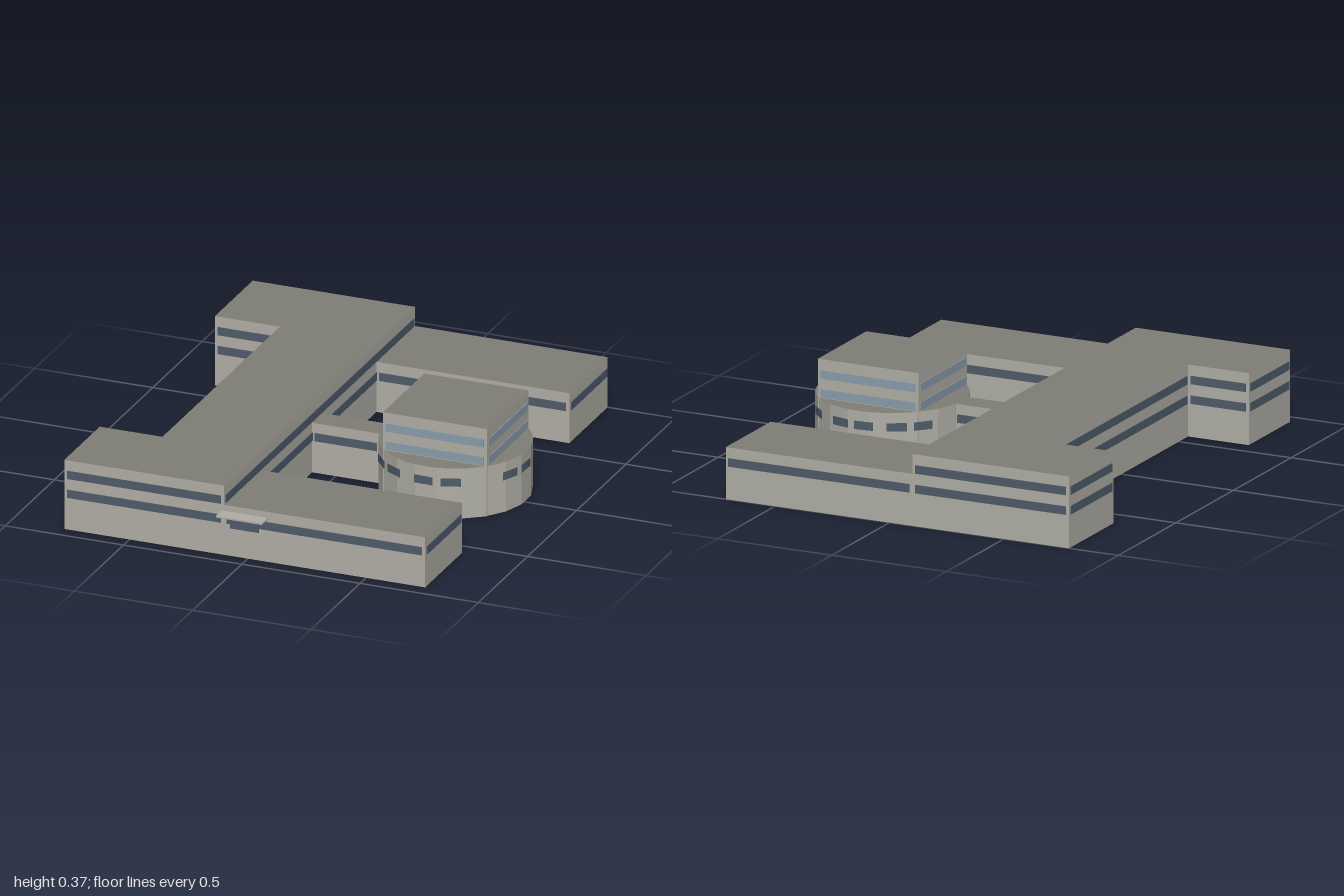
import * as THREE from 'three';

const mat = (name, color, side = THREE.DoubleSide) => {
  const m = new THREE.MeshStandardMaterial({ color, side });
  m.name = name;
  return m;
};

export function createModel() {
  const concrete = mat('concrete', 0xb0aea6);
  const roofing = mat('roofing', 0x807e76);
  const darkGlass = mat('darkGlass', 0x4e5c6a);
  const paleGlass = mat('paleGlass', 0x8b9dad);
  const model = new THREE.Group();
  model.name = 'building';

  const add = (parent, name, geometry, material, x = 0, y = 0, z = 0) => {
    const m = new THREE.Mesh(geometry, material);
    m.name = name;
    m.position.set(x, y, z);
    parent.add(m);
    return m;
  };

  // Open-bottomed block over an [x, z] outline (front edge running to +x),
  // with a window band on each wall at every given height.
  function block(name, outline, height, { bands = [0.152], glass = darkGlass, skip = [], through = false } = {}) {
    const group = new THREE.Group();
    group.name = name;
    model.add(group);
    outline.forEach(([x0, z0], i) => {
      if (skip.includes(i)) return;
      const [x1, z1] = outline[(i + 1) % outline.length];
      const length = Math.hypot(x1 - x0, z1 - z0);
      const side = new THREE.Group();
      side.name = 'wallSide';
      side.position.set((x0 + x1) / 2, 0, (z0 + z1) / 2);
      side.rotation.y = Math.atan2(z0 - z1, x1 - x0);
      group.add(side);
      add(side, 'wall', new THREE.PlaneGeometry(length, height), concrete, 0, height / 2, 0);
      for (const y of bands) {
        const depth = through ? 0.006 : 0.003;
        add(side, 'windowBand', new THREE.BoxGeometry(length - 0.025, 0.034, depth), glass, 0, y, through ? 0 : 0.0025);
      }
    });
    const shape = new THREE.Shape(outline.map(([x, z]) => new THREE.Vector2(x, -z)));
    add(group, 'roof', new THREE.ShapeGeometry(shape).rotateX(-Math.PI / 2), roofing, 0, height, 0);
    return group;
  }

  const rect = (x0, x1, z0, z1) => [[x0, z1], [x1, z1], [x1, z0], [x0, z0]];

  // Taller main spine with its two end blocks
  block('mainSpine', [
    [-0.775, 0.94], [-0.1, 0.94], [-0.1, -1], [-0.785, -1],
    [-0.785, -0.615], [-0.51, -0.615], [-0.51, 0.58], [-0.775, 0.58],
  ], 0.293, { bands: [0.152, 0.232], through: true });

  // Lower wings and the link to the round hall
  block('frontWing', rect(-0.1, 0.75, 0.565, 0.94), 0.212, { skip: [3] });
  block('backWing', rect(-0.1, 0.715, -1, -0.61), 0.212, { skip: [3] });
  block('linkCorridor', rect(-0.1, 0.188, -0.06, 0.045), 0.21, { skip: [1, 3] });

  // Square pavilion rising through the round hall
  block('pavilion', rect(0.26, 0.7, -0.23, 0.19), 0.37, { bands: [0.232, 0.308], glass: paleGlass });

  // Round hall: faceted wall, roof segments around the pavilion, short windows
  const hall = new THREE.Group();
  hall.name = 'roundHall';
  hall.position.set(0.48, 0, -0.02);
  model.add(hall);
  const R = 0.302, H = 0.212, deg = Math.PI / 180;
  const drum = new THREE.CylinderGeometry(R, R, H, 20, 1, true, Math.PI / 4).toNonIndexed();
  drum.computeVertexNormals();
  add(hall, 'hallWall', drum, concrete, 0, H / 2, 0);
  for (let i = 0; i < 4; i++) {
    const segment = new THREE.Shape();
    segment.absarc(0, 0, R, -Math.PI / 4, Math.PI / 4, false);
    add(hall, 'hallRoof', new THREE.ShapeGeometry(segment, 5).rotateX(-Math.PI / 2), roofing, 0, H, 0)
      .rotation.y = i * Math.PI / 2;
  }
  for (const a of [3, 23, 71, 92, 120, 140, -26, -46, -75, -95, -120, -140]) {
    const pane = new THREE.CylinderGeometry(R + 0.005, R + 0.005, 0.034, 1, 1, true, (90 - a - 7.5) * deg, 15 * deg);
    add(hall, 'hallWindow', pane, darkGlass, 0, 0.154, 0);
  }

  // Entrance with a thin canopy
  add(model, 'entranceDoor', new THREE.BoxGeometry(0.12, 0.054, 0.006), darkGlass, -0.011, 0.146, 0.944);
  add(model, 'entranceCanopy', new THREE.BoxGeometry(0.195, 0.007, 0.06), concrete, -0.012, 0.183, 0.97);

  return model;
}
